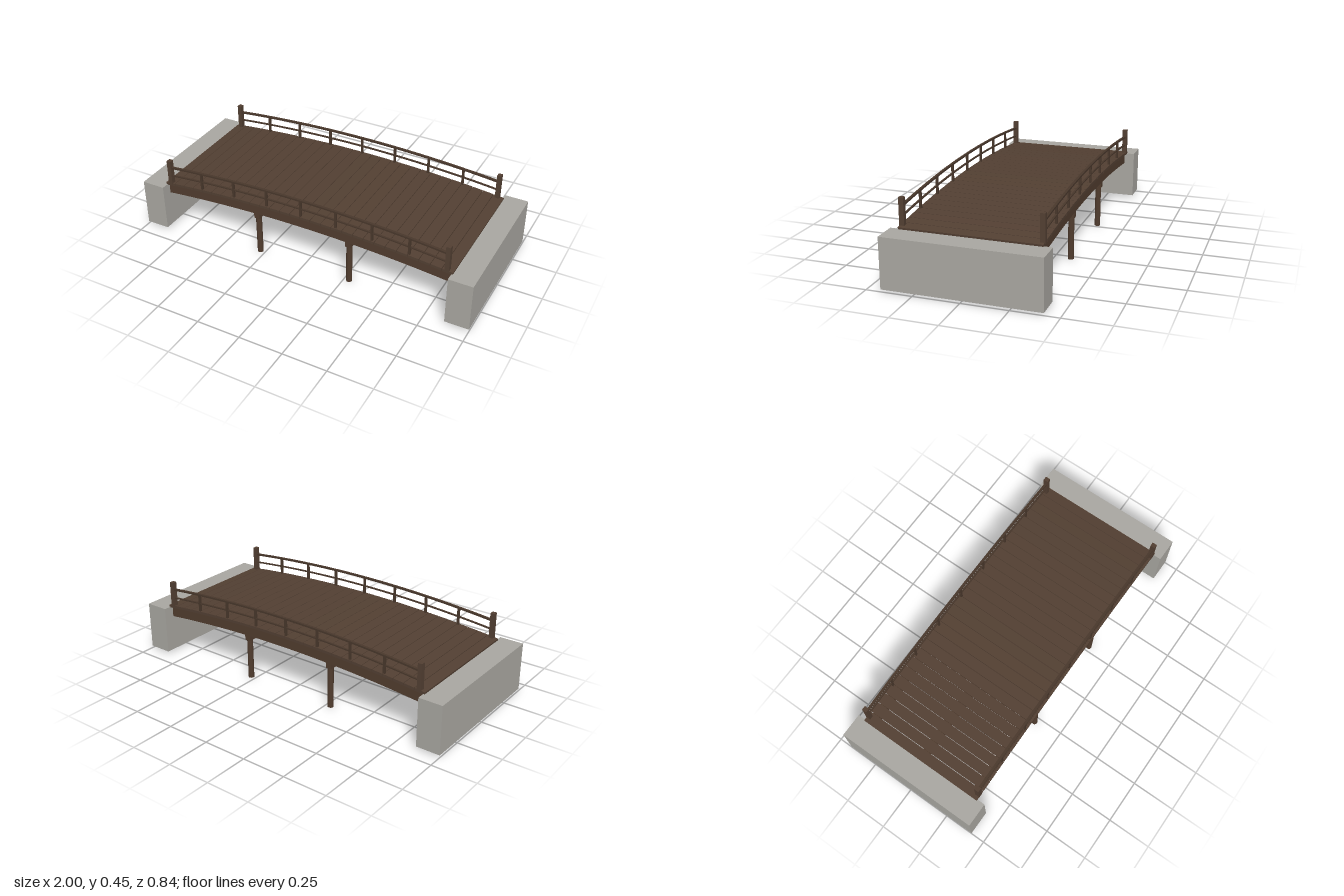
import * as THREE from 'three';

const RISE = 0.048, HALF = 0.875;
// height lost from the crown of the arch at x
const drop = (x) => RISE * (x / HALF) ** 2;

export function createModel() {
  const bridge = new THREE.Group();
  bridge.name = 'archedFootbridge';

  const mat = (name, color, extra = {}) => {
    const m = new THREE.MeshStandardMaterial({ color, ...extra });
    m.name = name;
    return m;
  };
  const plankWood = mat('plankWood', 0x523f32);
  const beamWood = mat('beamWood', 0x503c2e);
  const railWood = mat('railWood', 0x48372b);
  const concrete = mat('concrete', 0xa8a6a0, { side: THREE.DoubleSide });

  const add = (name, geometry, material, x = 0, y = 0, z = 0) => {
    const mesh = new THREE.Mesh(geometry, material);
    mesh.name = name;
    mesh.position.set(x, y, z);
    bridge.add(mesh);
    return mesh;
  };
  const box = (name, material, w, h, d, x, y, z) =>
    add(name, new THREE.BoxGeometry(w, h, d), material, x, y, z);

  // Long member following the arch; bottom and top are heights at mid-span
  const arched = (name, material, half, bottom, top, width, z) => {
    const n = 28, lower = [], upper = [];
    for (let i = 0; i <= n; i++) {
      const x = -half + (2 * half * i) / n;
      lower.push(new THREE.Vector2(x, bottom - drop(x)));
      upper.unshift(new THREE.Vector2(x, top - drop(x)));
    }
    const geometry = new THREE.ExtrudeGeometry(new THREE.Shape([...lower, ...upper]),
      { depth: width, bevelEnabled: false });
    geometry.translate(0, 0, -width / 2);
    return add(name, geometry, material, 0, 0, z);
  };

  // Hollow concrete abutments, open underneath
  for (const s of [-1, 1]) {
    const geometry = new THREE.BoxGeometry(0.135, 0.275, 0.84);
    const index = Array.from(geometry.index.array);
    index.splice(18, 6);
    geometry.setIndex(index);
    geometry.clearGroups();
    add('abutment', geometry, concrete, s * 0.9325, 0.1505, 0);
  }

  // Three arched girders
  for (const z of [-0.34, 0, 0.34]) arched('girder', beamWood, 0.864, 0.27, 0.331, 0.04, z);

  // Deck planks tilted along the arch
  const count = 28, pitch = (2 * HALF) / count;
  for (let i = 0; i < count; i++) {
    const x = -HALF + pitch * (i + 0.5);
    const plank = box('deckPlank', plankWood, pitch - 0.003, 0.015, 0.75, x, 0.3385 - drop(x), 0);
    plank.rotation.z = Math.atan((-2 * RISE * x) / HALF ** 2);
  }

  // Railings on both sides
  for (const s of [-1, 1]) {
    const z = s * 0.364;
    arched('topRail', railWood, 0.84, 0.44, 0.45, 0.014, z);
    arched('middleRail', railWood, 0.84, 0.389, 0.396, 0.01, z);
    for (let i = -3; i <= 3; i++) {
      const x = i * 0.21;
      box('baluster', railWood, 0.012, 0.1, 0.012, x, 0.393 - drop(x), z);
    }
    for (const e of [-1, 1]) box('endPost', plankWood, 0.024, 0.15, 0.027, e * 0.84, 0.371, z);
  }

  // Two trestles: round piles and a cross beam
  for (const x of [-0.28, 0.28]) {
    box('crossBeam', beamWood, 0.034, 0.03, 0.72, x, 0.25, 0);
    for (const z of [-0.34, 0.34])
      add('pile', new THREE.CylinderGeometry(0.0165, 0.0165, 0.25, 12), beamWood, x, 0.125, z);
  }

  return bridge;
}
